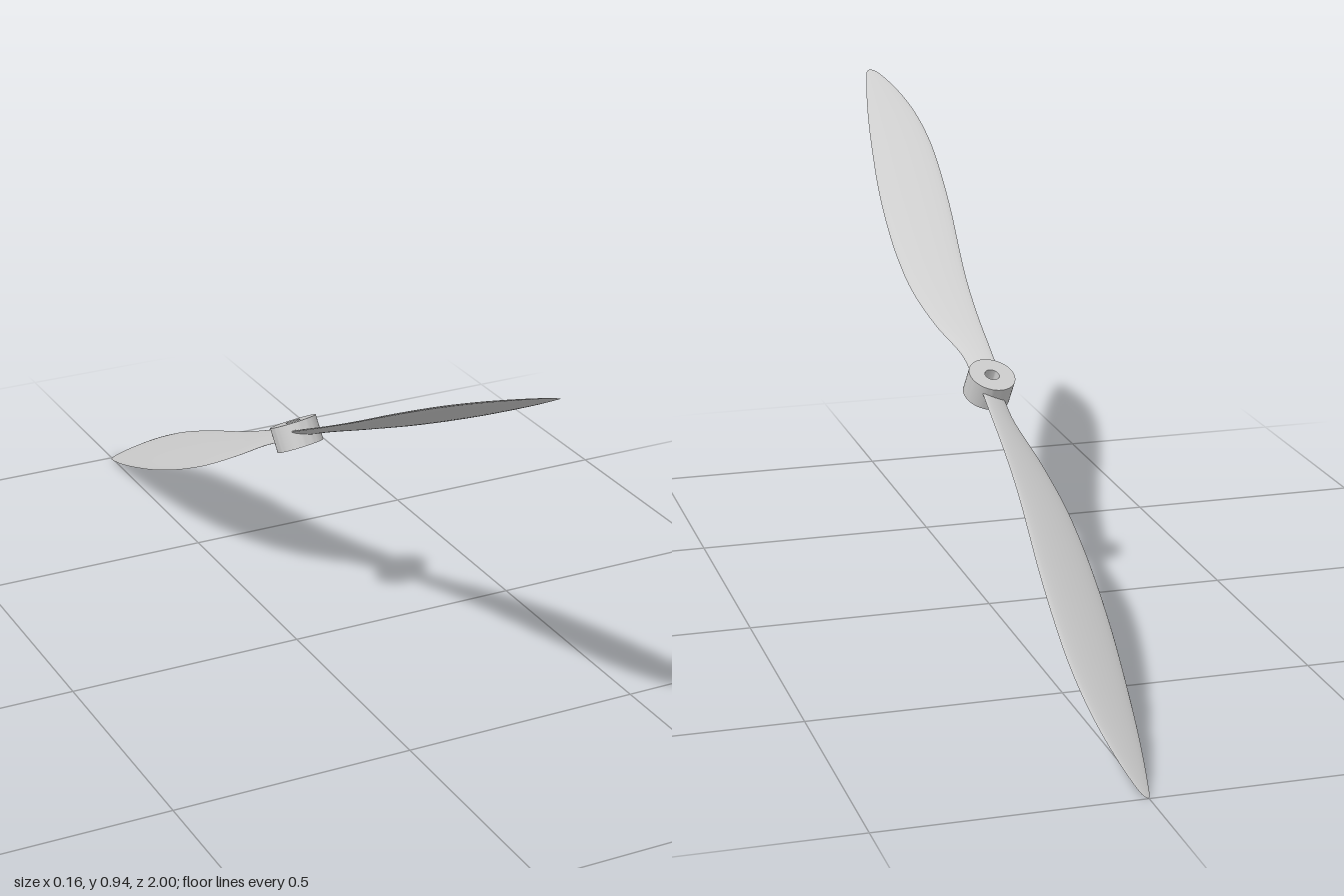
import * as THREE from 'three';
import { toCreasedNormals } from 'three/addons/utils/BufferGeometryUtils.js';

const deg = THREE.MathUtils.degToRad;
const material = new THREE.MeshStandardMaterial({ color: 0xcccccc });

// Blade outline along its length: [left edge, right edge, distance from hub]
const outline = [
  [-0.028, 0.026, 0.025], [-0.029, 0.03, 0.1], [-0.03, 0.06, 0.21], [-0.036, 0.081, 0.33],
  [-0.047, 0.086, 0.44], [-0.059, 0.083, 0.55], [-0.069, 0.073, 0.68], [-0.073, 0.058, 0.8],
  [-0.066, 0.042, 0.91], [-0.049, 0.026, 1.0], [-0.027, 0.011, 1.07], [-0.014, 0.004, 1.097],
  [-0.006, -0.002, 1.104],
];

// Twisted blade: thin cambered sections lofted along z, with sharp edges
function bladeGeometry() {
  const curve = new THREE.CatmullRomCurve3(outline.map(p => new THREE.Vector3(...p)));
  const rows = 64, cols = 12, twist = deg(-20);
  const positions = [], index = [];
  for (const side of [1, -1]) {
    const base = positions.length / 3;
    for (let i = 0; i <= rows; i++) {
      const { x: left, y: right, z } = curve.getPoint(i / rows);
      const chord = right - left;
      const thick = (side > 0 ? 0.055 : 0.025) * chord + 0.003 * Math.max(0, 1 - z * 4);
      for (let j = 0; j <= cols; j++) {
        const a = Math.PI * j / cols;
        const x = (left + right) / 2 + side * Math.cos(a) * chord / 2;
        const y = side * Math.sin(a) * thick;
        positions.push(
          x * Math.cos(twist) - y * Math.sin(twist),
          x * Math.sin(twist) + y * Math.cos(twist),
          z);
      }
    }
    for (let i = 0; i < rows; i++) {
      for (let j = 0; j < cols; j++) {
        const a = base + i * (cols + 1) + j, b = a + 1, d = a + cols + 1, c = d + 1;
        index.push(a, b, c, a, c, d);
      }
    }
  }
  const geometry = new THREE.BufferGeometry();
  geometry.setAttribute('position', new THREE.Float32BufferAttribute(positions, 3));
  geometry.setIndex(index);
  geometry.computeVertexNormals();
  return geometry;
}

// Short cylinder with a shaft hole
function hubGeometry() {
  const R = 0.048, r = 0.015, h = 0.026;
  const profile = [[r, -h], [R, -h], [R, h], [r, h], [r, -h]].map(p => new THREE.Vector2(...p));
  return toCreasedNormals(new THREE.LatheGeometry(profile, 48), deg(40));
}

export function createModel() {
  const model = new THREE.Group();
  model.name = 'propeller';

  // Whole propeller is pitched and slightly rolled
  const rotor = new THREE.Group();
  rotor.name = 'rotor';
  rotor.position.y = 0.472;
  rotor.rotation.set(deg(-25.2), 0, deg(7));
  model.add(rotor);

  const hub = new THREE.Mesh(hubGeometry(), material);
  hub.name = 'hub';
  rotor.add(hub);

  // Two identical blades, half a turn apart
  const blade = bladeGeometry();
  ['frontBlade', 'backBlade'].forEach((name, i) => {
    const mesh = new THREE.Mesh(blade, material);
    mesh.name = name;
    mesh.rotation.y = i * Math.PI;
    rotor.add(mesh);
  });
  return model;
}
